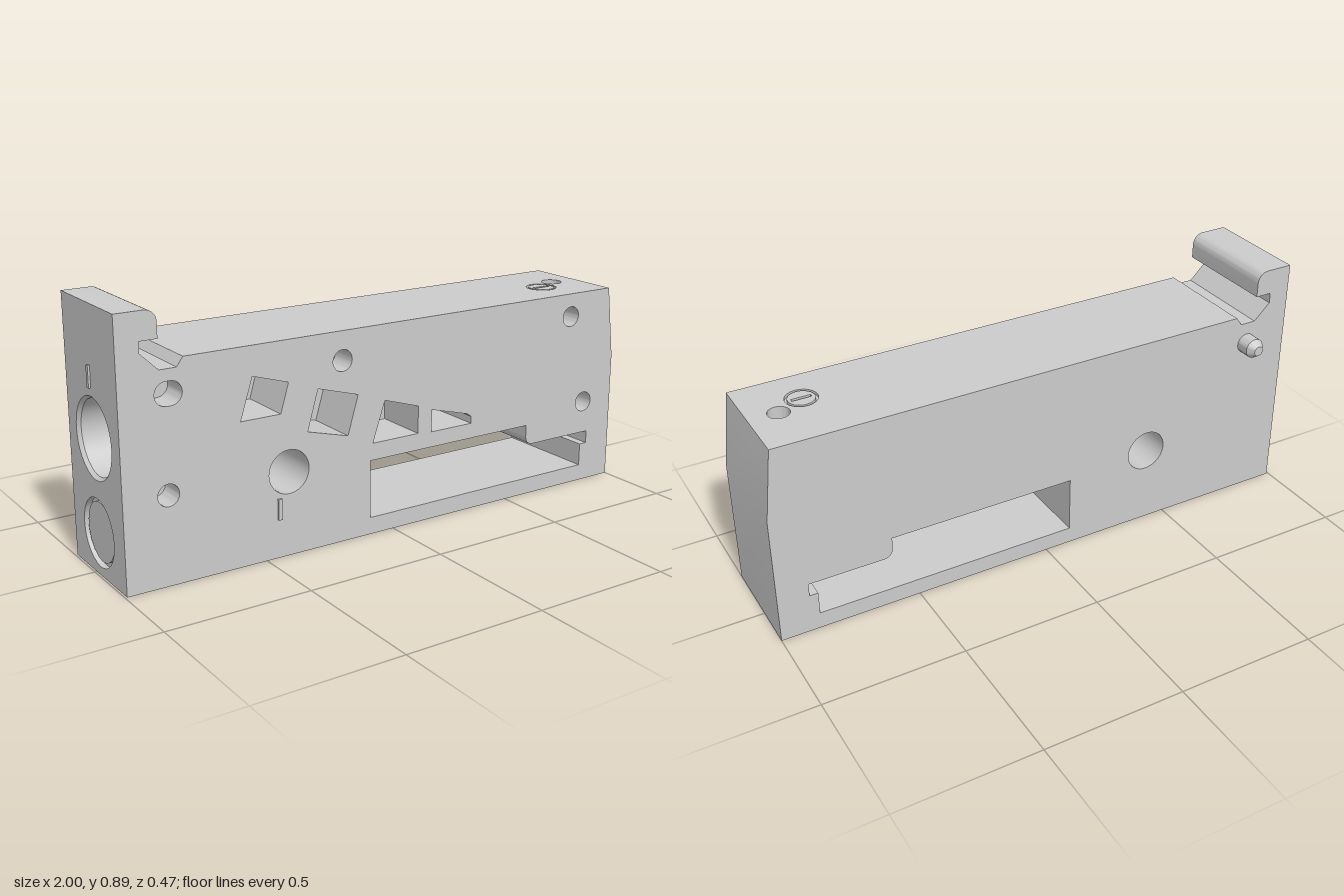
import * as THREE from 'three';
import { toCreasedNormals } from 'three/addons/utils/BufferGeometryUtils.js';

const BACK = -0.16, FRONT = 0.23, MID = 0.035, LEFT_END = -0.993, TOP = 0.73;
const material = new THREE.MeshStandardMaterial({ color: 0xcccccc, side: THREE.DoubleSide });

// Points along an arc, angles in degrees
function arc(cx, cy, r, from = 0, to = 360, n = 40) {
  const full = Math.abs(to - from) === 360;
  return Array.from({ length: full ? n : n + 1 }, (_, i) => {
    const a = THREE.MathUtils.degToRad(from + (to - from) * i / n);
    return [cx + r * Math.cos(a), cy + r * Math.sin(a)];
  });
}

const vectors = pts => pts.map(p => new THREE.Vector2(...p));

// Flat face with holes
function plate(outline, holes = []) {
  const shape = new THREE.Shape(vectors(outline));
  holes.forEach(h => shape.holes.push(new THREE.Path(vectors(h))));
  return new THREE.ShapeGeometry(shape);
}

// Wall swept along z from a path
function wall(pts, z0, z1, closed = true) {
  const pos = [];
  const count = closed ? pts.length : pts.length - 1;
  for (let i = 0; i < count; i++) {
    const [ax, ay] = pts[i], [bx, by] = pts[(i + 1) % pts.length];
    pos.push(ax, ay, z0, bx, by, z0, bx, by, z1, ax, ay, z0, bx, by, z1, ax, ay, z1);
  }
  const g = new THREE.BufferGeometry();
  g.setAttribute('position', new THREE.Float32BufferAttribute(pos, 3));
  return toCreasedNormals(g, 0.6);
}

// Turned part about local y
function turned(profile) {
  return toCreasedNormals(new THREE.LatheGeometry(vectors(profile), 48), 0.5);
}

export function createModel() {
  const model = new THREE.Group();
  function add(name, geometry, parent = model) {
    const mesh = new THREE.Mesh(geometry, material);
    mesh.name = name;
    parent.add(mesh);
    return mesh;
  }

  // Outline: hook and channel, then the sloped end and the base
  const hook = [
    [LEFT_END, 0.887], ...arc(-0.895, 0.847, 0.04, 90, 0, 10),
    [-0.855, 0.795], [-0.915, 0.795], [-0.915, 0.758],
    [-0.855, 0.7], [-0.797, 0.7], [-0.775, TOP],
  ];
  const endAndBase = [[0.968, TOP], [1, 0.47], [1, 0], [LEFT_END, 0]];
  const outline = [...hook, ...endAndBase];

  // Openings that run right through
  const window = [
    [-0.095, 0.06], [0.86, 0.06], [0.86, 0.143], [0.89, 0.143], [0.89, 0.19],
    ...arc(0.622, 0.222, 0.032, 270, 180, 10), [0.59, 0.265], [-0.095, 0.265],
  ];
  const through = [window, arc(-0.412, 0.29, 0.075)];

  // Blind pockets and holes in the front
  const pockets = [
    [[-0.54, 0.63], [-0.41, 0.59], [-0.44, 0.49], [-0.585, 0.49]],
    [[-0.3, 0.55], [-0.145, 0.505], [-0.185, 0.37], [-0.34, 0.412]],
    [[-0.037, 0.467], [0.102, 0.423], [0.102, 0.325], [-0.085, 0.325]],
    [[0.16, 0.4], [0.315, 0.358], [0.333, 0.345], [0.333, 0.32], [0.16, 0.32]],
  ];
  const smallHoles = [
    [...arc(-0.82, 0.622, 0.039, -90, 90, 16), ...arc(-0.835, 0.622, 0.039, 90, 270, 16)],
    ...[[-0.84, 0.3], [-0.205, 0.63], [0.785, 0.645], [0.865, 0.31]].map(([x, y]) => arc(x, y, 0.037)),
  ];

  const body = new THREE.Group();
  body.name = 'body';
  model.add(body);
  add('frontFace', plate(outline, [...through, ...pockets, ...smallHoles]), body).position.z = FRONT;
  add('backFace', plate(outline, through), body).position.z = BACK;
  add('hookSurface', wall(hook, BACK, FRONT, false), body);
  add('endAndBase', wall(endAndBase, BACK, FRONT, false), body);
  through.forEach(p => add('throughOpening', wall(p, BACK, FRONT), body));

  for (const [name, list, depth] of [['pocket', pockets, 0.2], ['smallHole', smallHoles, 0.1]]) {
    list.forEach(p => {
      add(name + 'Wall', wall(p, FRONT - depth, FRONT), body);
      add(name + 'Floor', plate(p), body).position.z = FRONT - depth;
    });
  }

  // Top face with a blind hole and a slotted disc set in a ring groove
  const holeX = 0.865, holeZ = 0.03, discX = 0.77, discZ = 0.08;
  const top = add('topFace', plate(
    [[-0.775, -FRONT], [0.968, -FRONT], [0.968, -BACK], [-0.775, -BACK]],
    [arc(holeX, -holeZ, 0.037, 0, 360, 48), arc(discX, -discZ, 0.055, 0, 360, 48)],
  ), body);
  top.rotation.x = -Math.PI / 2;
  top.position.y = TOP;
  add('topHole', turned([[0.037, 0], [0.037, -0.1], [0, -0.1]]), body).position.set(holeX, TOP, holeZ);
  add('ringGroove', turned([[0.055, 0], [0.055, -0.01], [0, -0.01]]), body).position.set(discX, TOP, discZ);
  const discShape = new THREE.Shape(vectors(arc(0, 0, 0.046)));
  discShape.holes.push(new THREE.Path(vectors([[-0.034, -0.006], [0.034, -0.006], [0.034, 0.006], [-0.034, 0.006]])));
  const disc = add('slottedDisc', new THREE.ExtrudeGeometry(discShape, { depth: 0.01, bevelEnabled: false }), body);
  disc.rotation.x = -Math.PI / 2;
  disc.position.set(discX, TOP - 0.01, discZ);

  // Hooked end face with a deep bore and a shallow round recess
  const boreY = 0.457, recessY = 0.145;
  const end = add('endFace', plate(
    [[BACK, 0], [FRONT, 0], [FRONT, 0.887], [BACK, 0.887]],
    [arc(MID, boreY, 0.135, 0, 360, 48), arc(MID, recessY, 0.115, 0, 360, 48)],
  ), body);
  end.rotation.y = -Math.PI / 2;
  end.position.x = LEFT_END;
  const bore = add('endBore', turned([[0.135, 0], [0.125, -0.012], [0.125, -0.36], [0, -0.36]]), body);
  const recess = add('endRecess', turned([[0.115, 0], [0.115, -0.02], [0.1, -0.02], [0.1, -0.008], [0, -0.008]]), body);
  [[bore, boreY], [recess, recessY]].forEach(([m, y]) => {
    m.rotation.z = Math.PI / 2;
    m.position.set(LEFT_END, y, MID);
  });

  // Locating pin on the back
  const pin = add('locatingPin', turned([[0.036, 0], [0.036, 0.05], [0.018, 0.075], [0, 0.075]]));
  pin.rotation.x = -Math.PI / 2;
  pin.position.set(-0.825, 0.62, BACK);

  // Raised index bars
  add('frontIndexBar', new THREE.BoxGeometry(0.014, 0.072, 0.014)).position.set(-0.45, 0.169, FRONT);
  add('endIndexBar', new THREE.BoxGeometry(0.014, 0.072, 0.014)).position.set(LEFT_END, 0.655, 0.03);

  return model;
}
